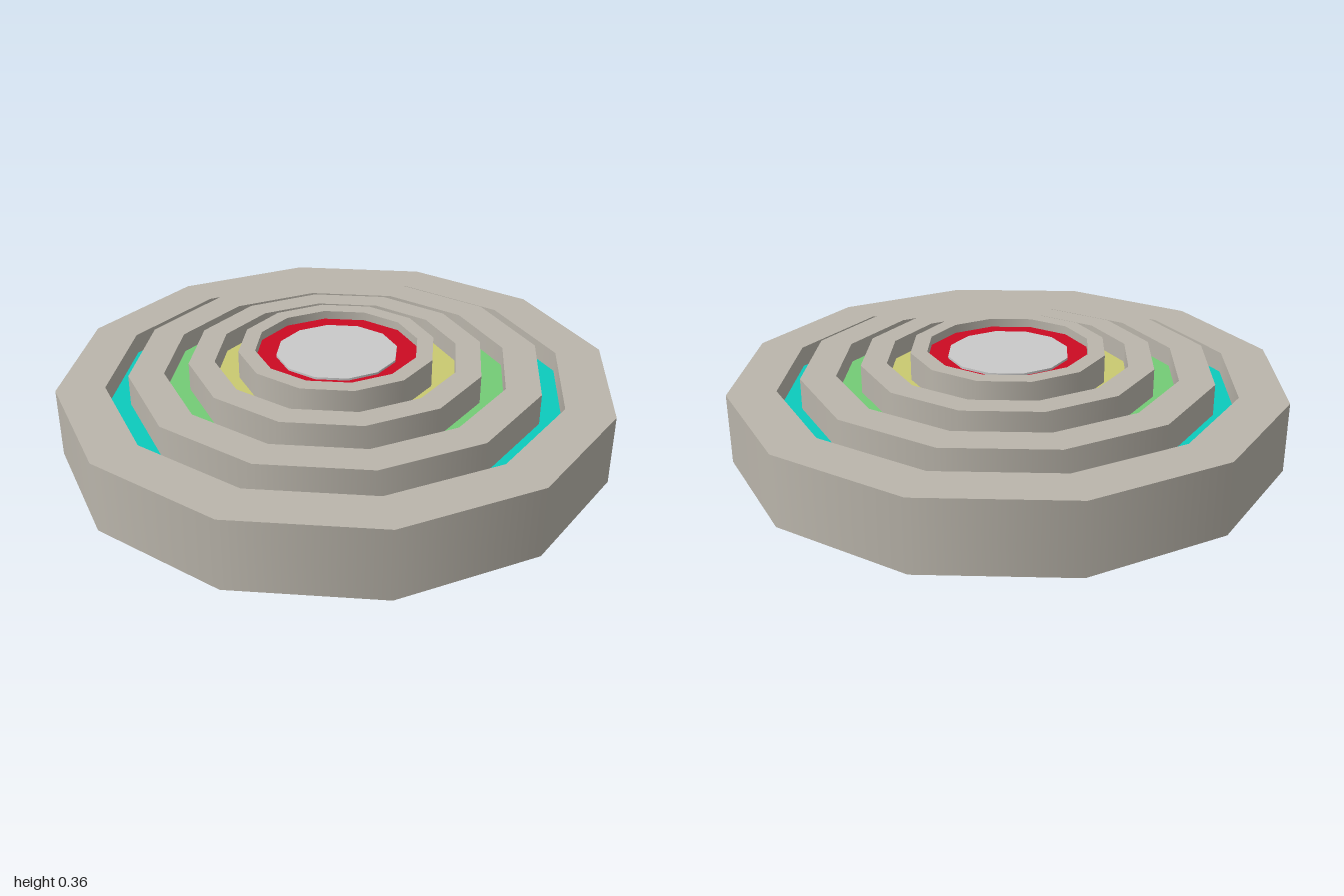
import * as THREE from 'three';
import { mergeGeometries } from 'three/addons/utils/BufferGeometryUtils.js';

const SIDES = 12;

function material(name, color) {
  const m = new THREE.MeshStandardMaterial({ color });
  m.name = name;
  return m;
}

// Revolve a [radius, height] profile; each segment keeps its own normals so rims stay sharp.
// Profiles run up the outside, inward over the top and down the inside.
function revolve(name, profile, mat) {
  const bands = [];
  for (let i = 0; i + 1 < profile.length; i++) {
    const points = [profile[i], profile[i + 1]].map(([r, y]) => new THREE.Vector2(r, y));
    bands.push(new THREE.LatheGeometry(points, SIDES));
  }
  const mesh = new THREE.Mesh(mergeGeometries(bands), mat);
  mesh.name = name;
  return mesh;
}

export function createModel() {
  const group = new THREE.Group();
  group.name = 'steppedDisc';

  const stone = material('warm grey', 0xbab5ab);
  const core = material('light grey', 0xc9c9c9);
  const cyan = material('cyan', 0x0ccbbd);
  const green = material('green', 0x74cc76);
  const yellow = material('yellow', 0xc9c970);
  const red = material('red', 0xcc0a22);

  // Raised rings, each with a coloured channel floor just inside it
  const tiers = [
    { name: 'outer', outer: 1.0, inner: 0.828, top: 0.255, base: 0, floor: 0.18, color: cyan },
    { name: 'second', outer: 0.745, inner: 0.62, top: 0.293, base: 0.18, floor: 0.222, color: green },
    { name: 'third', outer: 0.532, inner: 0.44, top: 0.325, base: 0.222, floor: 0.255, color: yellow },
    { name: 'inner', outer: 0.355, inner: 0.295, top: 0.357, base: 0.255, floor: 0.325, color: red },
  ];
  const coreRadius = 0.22;

  tiers.forEach((t, i) => {
    const next = i + 1 < tiers.length ? tiers[i + 1].outer : coreRadius;
    group.add(revolve(t.name + 'Ring', [
      [t.outer, t.base], [t.outer, t.top], [t.inner, t.top], [t.inner, t.floor],
    ], stone));
    group.add(revolve(t.name + 'Channel', [[t.inner, t.floor], [next, t.floor]], t.color));
  });

  // Underside around the core
  group.add(revolve('underside', [[coreRadius, 0], [1, 0]], stone));

  // Central plug running from the underside to the top
  group.add(revolve('core', [
    [0, 0], [coreRadius, 0], [coreRadius, 0.333], [0, 0.333],
  ], core));

  return group;
}
